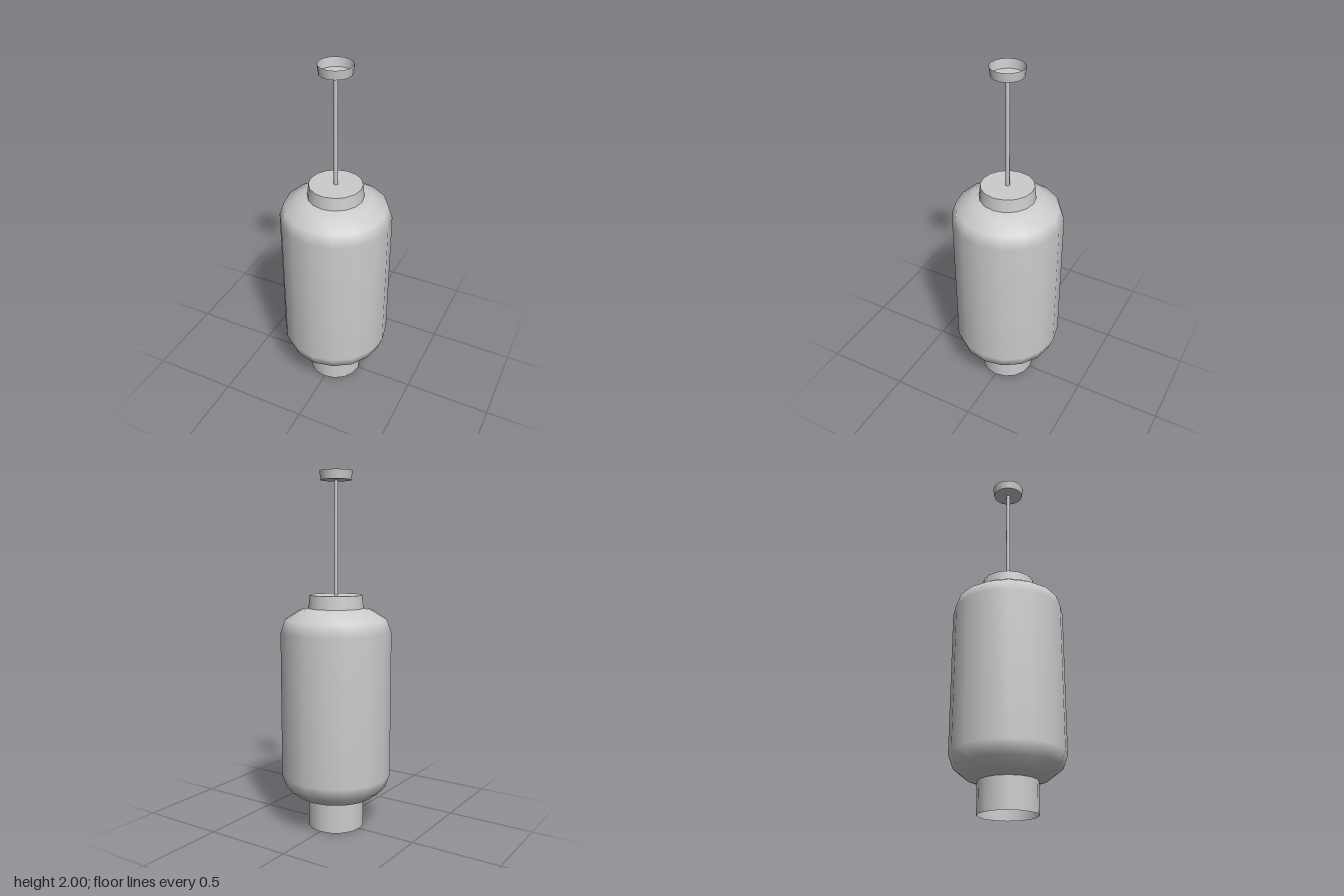
import * as THREE from 'three';

const SIDES = 16;

export function createModel() {
  const model = new THREE.Group();
  model.name = 'pendantLantern';
  const grey = new THREE.MeshStandardMaterial({ color: 0xcccccc, side: THREE.DoubleSide });
  grey.name = 'grey';

  const add = (name, geometry, y = 0) => {
    const mesh = new THREE.Mesh(geometry, grey);
    mesh.name = name;
    mesh.position.y = y;
    model.add(mesh);
  };
  // Open tapered wall between two heights
  const wall = (rTop, rBottom, y0, y1, sides = SIDES) =>
    new THREE.CylinderGeometry(rTop, rBottom, y1 - y0, sides, 1, true).translate(0, (y0 + y1) / 2, 0);
  // Flat disc facing up, with a corner on each axis
  const disc = (r) => new THREE.CircleGeometry(r, SIDES).rotateX(-Math.PI / 2);

  // Shade with rounded shoulders, listed from bottom to top
  const profile = [
    [0.16, 0.17], [0.222, 0.187], [0.287, 0.238], [0.312, 0.31],
    [0.312, 1.125], [0.287, 1.195], [0.205, 1.247], [0.15, 1.258],
  ].map(([r, y]) => new THREE.Vector2(r, y));
  add('shade', new THREE.LatheGeometry(profile, SIDES));

  // Open neck under the shade
  add('lowerNeck', wall(0.16, 0.16, 0, 0.17));

  // Closed collar on top of the shade
  add('collarWall', wall(0.148, 0.156, 1.255, 1.33));
  add('collarTop', disc(0.148), 1.33);

  // Hanging rod
  add('rod', wall(0.012, 0.012, 1.33, 1.951, 8));

  // Ceiling cup, open upwards
  add('ceilingCupWall', wall(0.092, 0.086, 1.951, 2));
  add('ceilingCupFloor', disc(0.086), 1.951);

  return model;
}
